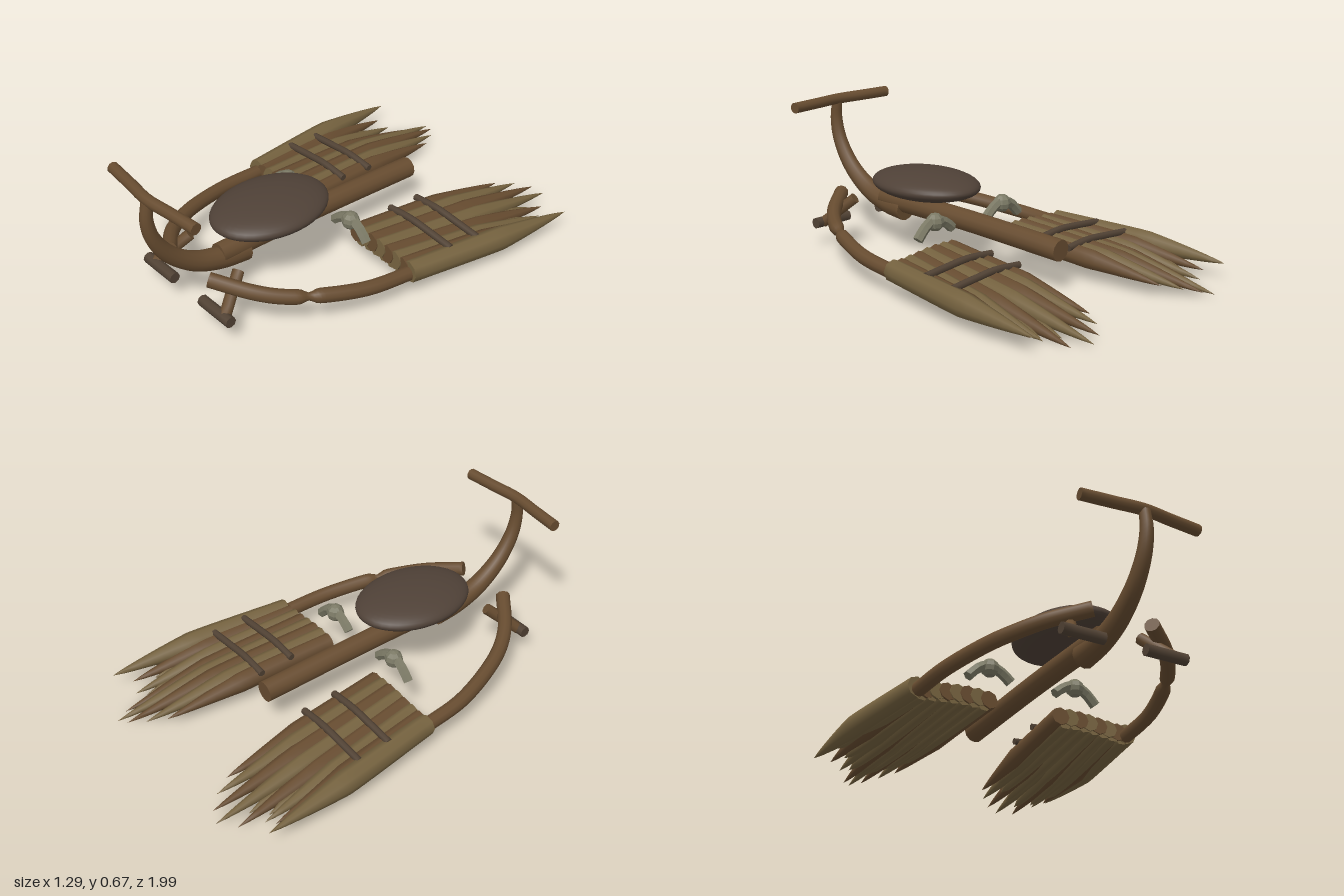
import * as THREE from 'three';
import { toCreasedNormals } from 'three/addons/utils/BufferGeometryUtils.js';

const mat = (color, flatShading = false) => new THREE.MeshStandardMaterial({ color, flatShading });
const wood = mat(0x674c30);
const lightStraw = mat(0x75623f);
const darkWood = mat(0x514234);
const leather = mat(0x4f4137);
const pegMetal = mat(0x7b7965, true);

function add(parent, name, geometry, material) {
  const mesh = new THREE.Mesh(geometry, material);
  mesh.name = name;
  parent.add(mesh);
  return mesh;
}

// Capped tube along points; radius is a function of t in 0..1
function rod(points, radius, sides = 10, steps = 28) {
  const pts = points.map(p => new THREE.Vector3(...p));
  const path = pts.length === 2 ? new THREE.LineCurve3(...pts) : new THREE.CatmullRomCurve3(pts);
  const geo = new THREE.TubeGeometry(path, steps, 1, sides);
  const pos = geo.attributes.position;
  const v = new THREE.Vector3();
  for (let i = 0; i <= steps; i++) {
    const t = THREE.MathUtils.clamp((i - 1) / (steps - 2), 0, 1);
    const oldCentre = path.getPointAt(i / steps), centre = path.getPointAt(t);
    const r = i === 0 || i === steps ? 0 : radius(t);
    for (let j = 0; j <= sides; j++) {
      const k = i * (sides + 1) + j;
      v.fromBufferAttribute(pos, k).sub(oldCentre).multiplyScalar(r).add(centre);
      pos.setXYZ(k, v.x, v.y, v.z);
    }
  }
  return toCreasedNormals(geo, 0.9);
}

const even = r => () => r;

// Bristles from inner to outer: [front x, front y, tip x, tip y, tip z]
const bristles = [
  [0.180, 0.145, 0.235, 0.070, -0.84],
  [0.230, 0.148, 0.285, 0.060, -0.92],
  [0.280, 0.148, 0.345, 0.045, -0.98],
  [0.330, 0.145, 0.400, 0.028, -1.00],
  [0.380, 0.140, 0.455, 0.010, -0.93],
  [0.430, 0.135, 0.515, 0.030, -0.84],
  [0.480, 0.130, 0.570, 0.055, -0.82],
  [0.525, 0.128, 0.625, 0.088, -0.89],
];

function brush(s) {
  const group = new THREE.Group();
  group.name = 'brush';
  bristles.forEach(([x, y, tx, ty, tz], i) => {
    const big = i === bristles.length - 1 ? 1.15 : 1;
    const start = -tz * 0.55;
    // Swelling stalk that closes to a pointed tip
    const radius = t => big * (t < 0.55
      ? 0.043 + 0.004 * t / 0.55
      : 0.047 * Math.pow(Math.max(0.0001, (1 - t) / 0.45), 0.8));
    const mx = x + (tx - x) * 0.66;
    const my = y + (ty - y) * 0.48;
    add(group, 'bristle', rod([[s * x, y, 0], [s * mx, my, -start], [s * tx, ty, tz]], radius, 8, 20),
      i % 2 ? lightStraw : wood);
    // Thin straw filling the groove beneath and between
    if (i < bristles.length - 1) {
      const n = bristles[i + 1];
      add(group, 'innerStraw', rod([
        [s * (x + n[0]) / 2, y - 0.022, -0.005],
        [s * (tx + n[2]) / 2, (ty + n[3]) / 2 + 0.005, tz * 0.86],
      ], t => 0.036 * Math.sqrt(Math.max(0, 1 - t * t * t)), 7, 14), lightStraw);
    }
  });
  // Binding straps across the bundle
  for (const [z, y, outer] of [[-0.225, 0.172, 0.55], [-0.385, 0.157, 0.555]]) {
    add(group, 'strap', rod([
      [s * 0.16, y - 0.003, z], [s * 0.30, y + 0.008, z], [s * 0.42, y, z], [s * outer, y - 0.012, z],
    ], even(0.016), 8, 16), darkWood);
  }
  return group;
}

function sideParts(s) {
  const group = new THREE.Group();
  group.name = s > 0 ? 'leftSide' : 'rightSide';
  group.add(brush(s));

  // Curved arm from pedal to brush; the left one pinches at a joint
  const arm = [
    [0.14, 0.25, 0.775], [0.285, 0.212, 0.66], [0.36, 0.188, 0.57], [0.425, 0.168, 0.45],
    [0.50, 0.135, 0.22], [0.522, 0.117, 0.0], [0.53, 0.112, -0.1],
  ].map(([x, y, z]) => [s * x, y, z]);
  const pinch = t => 0.033 - (s > 0 ? 0.016 * Math.exp(-Math.pow((t - 0.42) / 0.025, 2)) : 0);
  add(group, 'arm', rod(arm, pinch, 10, 64), wood);

  // Pedal with its strut
  add(group, 'pedalStrut', rod([[s * 0.17, 0.25, 0.645], [s * 0.25, 0.12, 0.785]], even(0.026), 8, 6), wood);
  add(group, 'pedal', rod([[s * 0.098, 0.124, 0.785], [s * 0.295, 0.124, 0.785]], even(0.026), 8, 6), darkWood);

  // Arched foot peg with a central knuckle
  const peg = new THREE.Group();
  peg.name = 'footPeg';
  add(peg, 'pegArch', rod([
    [s * 0.112, 0.215, 0.063], [s * 0.155, 0.25, 0.063], [s * 0.215, 0.272, 0.063],
    [s * 0.27, 0.25, 0.063], [s * 0.32, 0.2, 0.063],
  ], even(0.024), 6, 10), pegMetal);
  add(peg, 'pegKnuckle', new THREE.SphereGeometry(0.042, 8, 6), pegMetal).position.set(s * 0.215, 0.262, 0.063);
  group.add(peg);
  return group;
}

export function createModel() {
  const model = new THREE.Group();
  model.name = 'broomRacer';

  // Straight main shaft
  add(model, 'shaft', rod([[0, 0.228, 0.62], [0, 0.222, 0.1], [0, 0.2, -0.48]], even(0.049), 12, 12), wood);

  // Steering column sweeping up at the front
  add(model, 'column', rod([
    [0, 0.195, 0.48], [0, 0.205, 0.6], [0, 0.25, 0.74], [0, 0.345, 0.865],
    [0, 0.46, 0.94], [0, 0.56, 0.963], [0, 0.645, 0.955],
  ], t => 0.056 - 0.031 * t, 12, 40), wood);

  // Handlebar, swept back on both sides
  add(model, 'handlebar', rod([
    [-0.287, 0.655, 0.922], [-0.14, 0.655, 0.936], [0, 0.655, 0.95], [0.14, 0.655, 0.936], [0.287, 0.655, 0.922],
  ], even(0.026), 10, 24), wood);

  // Oval seat
  const seat = add(model, 'seat', new THREE.SphereGeometry(1, 40, 24), leather);
  seat.scale.set(0.21, 0.066, 0.285);
  seat.position.set(0, 0.347, 0.34);

  for (const s of [-1, 1]) model.add(sideParts(s));
  return model;
}
